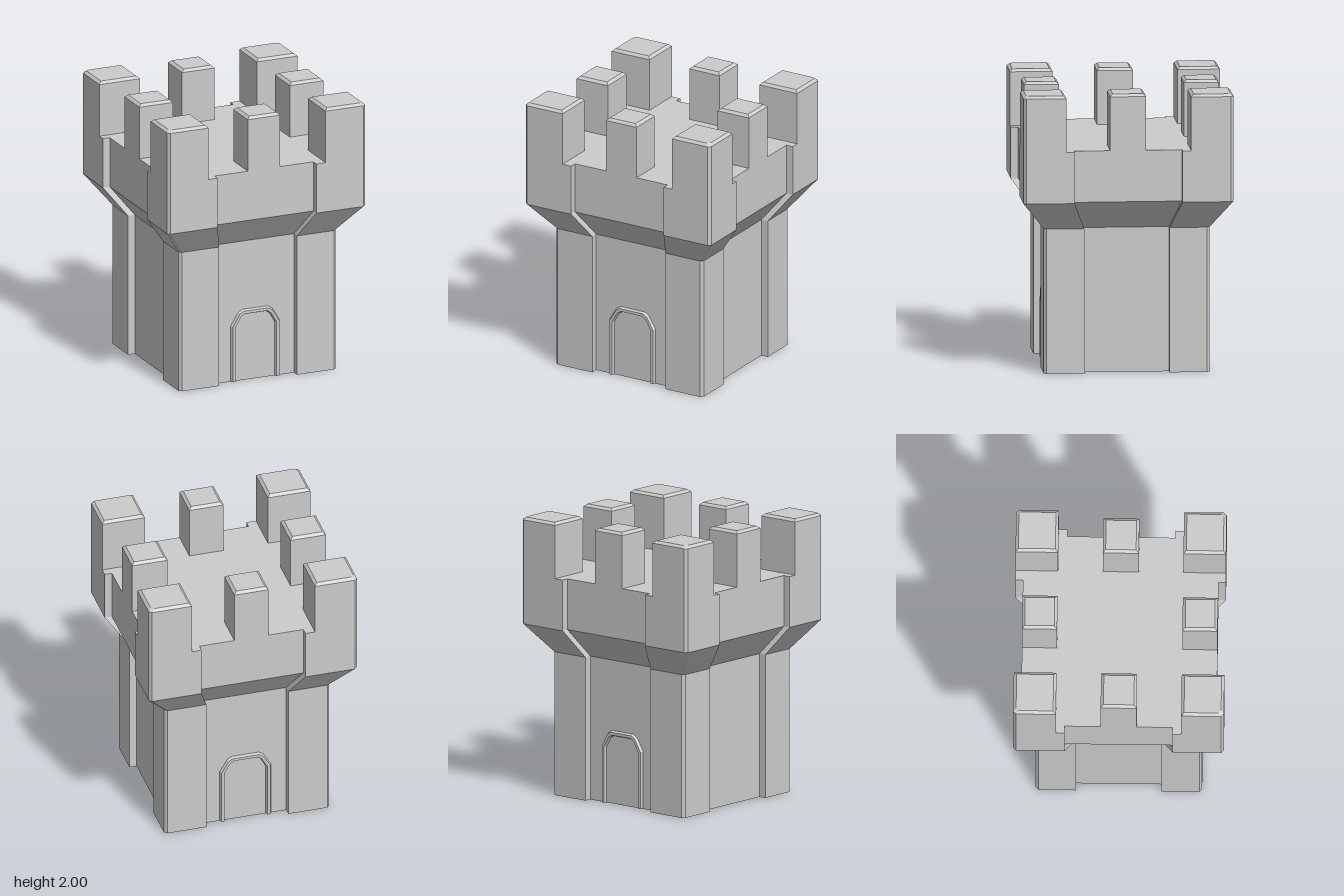
import * as THREE from 'three';

const material = new THREE.MeshStandardMaterial({ color: 0xcccccc, flatShading: true, side: THREE.DoubleSide });

// Joins rings of [x, y, z] points with quads; optionally closes the loop and caps the last ring
function loft(name, rings, closed = true, cap = true) {
  const pos = [];
  const n = rings[0].length;
  for (let k = 0; k < rings.length - 1; k++) {
    for (let i = 0; i < (closed ? n : n - 1); i++) {
      const j = (i + 1) % n;
      const a = rings[k][i], b = rings[k][j], c = rings[k + 1][j], d = rings[k + 1][i];
      pos.push(...a, ...d, ...c, ...a, ...c, ...b);
    }
  }
  if (cap) {
    const top = rings[rings.length - 1];
    const flat = top.map(p => new THREE.Vector2(p[0], p[2]));
    for (const [a, b, c] of THREE.ShapeUtils.triangulateShape(flat, [])) pos.push(...top[a], ...top[c], ...top[b]);
  }
  const geometry = new THREE.BufferGeometry();
  geometry.setAttribute('position', new THREE.Float32BufferAttribute(pos, 3));
  geometry.computeVertexNormals();
  const mesh = new THREE.Mesh(geometry, material);
  mesh.name = name;
  return mesh;
}

// Mirrors an [x, z] outline, keeping its direction of travel
function mirror(points, sx, sz) {
  const out = points.map(([x, z]) => [x * sx, z * sz]);
  return sx * sz < 0 ? out.reverse() : out;
}

const atHeight = (points, y) => points.map(([x, z]) => [x, y, z]);

const CHAMFER = 0.02, RECESS = 0.053, DECK = 1.6;

// Plan of the tower: four chamfered corner piers with recessed panels between them
function plan(X, Z, s) {
  const quarter = [[X - RECESS, s], [X, s], [X, Z - CHAMFER], [X - CHAMFER, Z], [s, Z], [s, Z - RECESS]];
  return [[1, 1], [-1, 1], [-1, -1], [1, -1]].flatMap(([sx, sz]) => mirror(quarter, sx, sz));
}

// Merlon with a bevelled top edge
function merlon(name, outline) {
  const xs = outline.map(p => p[0]), zs = outline.map(p => p[1]);
  const cx = (Math.min(...xs) + Math.max(...xs)) / 2;
  const cz = (Math.min(...zs) + Math.max(...zs)) / 2;
  const inset = outline.map(([x, z]) => [x + Math.sign(cx - x) * 0.02, z + Math.sign(cz - z) * 0.02]);
  return loft(name, [atHeight(outline, DECK), atHeight(outline, 1.982), atHeight(inset, 2)]);
}

const rect = (x0, x1, z0, z1) => [[x1, z0], [x1, z1], [x0, z1], [x0, z0]];

// Raised door surround following a faceted arch, d being the distance from the opening
function doorFrame(name) {
  const arch = (d, z) => {
    const half = [[0.15 + d, 0], [0.15 + d, 0.4 + d * 0.3], [0.11 + d * 0.6, 0.47 + d * 0.9], [0.085 + d * 0.4, 0.487 + d]];
    return [...half, ...half.map(([x, y]) => [-x, y]).reverse()].map(([x, y]) => [x, y, z]);
  };
  const wall = 0.585 - RECESS;
  return loft(name, [arch(0, wall), arch(0.008, wall + 0.02), arch(0.028, wall + 0.02), arch(0.037, wall)], false, false);
}

export function createModel() {
  const tower = new THREE.Group();
  tower.name = 'castleTower';

  // Shell: straight shaft, flared corbel, parapet and deck; open underneath
  const lower = plan(0.605, 0.585, 0.3);
  const upper = plan(0.762, 0.74, 0.38);
  tower.add(loft('towerBody', [atHeight(lower, 0), atHeight(lower, 1.03), atHeight(upper, 1.235), atHeight(upper, DECK)]));

  // Corner merlons
  const X = 0.762, Z = 0.74;
  const corner = [[X, 0.44], [X, Z - CHAMFER], [X - CHAMFER, Z], [0.45, Z], [0.45, 0.44]];
  for (const sx of [1, -1]) for (const sz of [1, -1]) tower.add(merlon('cornerMerlon', mirror(corner, sx, sz)));

  // Middle merlons on each side
  for (const s of [1, -1]) {
    tower.add(merlon('sideMerlon', mirror(rect(0.45, X - RECESS, -0.127, 0.127), s, 1)));
    tower.add(merlon('endMerlon', mirror(rect(-0.125, 0.125, 0.44, Z - RECESS), 1, s)));
  }

  // Door surrounds front and back
  const backDoor = doorFrame('backDoorFrame');
  backDoor.rotation.y = Math.PI;
  tower.add(doorFrame('frontDoorFrame'), backDoor);
  return tower;
}
